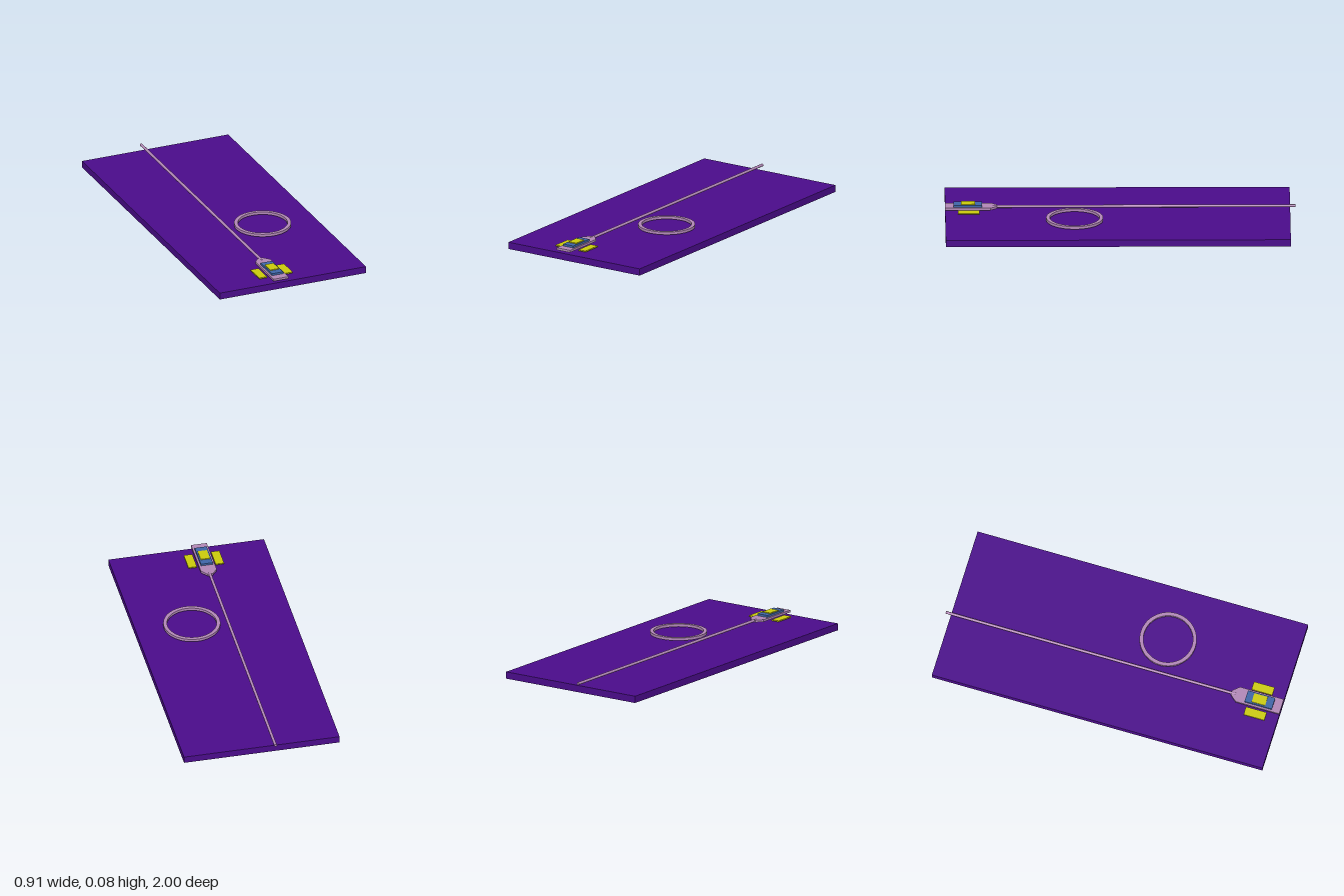
import * as THREE from 'three';

export function createModel() {
  const model = new THREE.Group();
  const mat = (name, color) => {
    const m = new THREE.MeshStandardMaterial({ color });
    m.name = name;
    return m;
  };
  const purple = mat('purple', 0x4b0c8c);
  const mauve = mat('mauve', 0xb388b8);
  const blue = mat('blue', 0x3f66a8);
  const yellow = mat('yellow', 0xcccc0c);

  const add = (name, geometry, material, parent = model) => {
    const mesh = new THREE.Mesh(geometry, material);
    mesh.name = name;
    parent.add(mesh);
    return mesh;
  };
  // box given by its lower and upper corners
  const box = (name, material, [x0, y0, z0], [x1, y1, z1], parent) =>
    add(name, new THREE.BoxGeometry(x1 - x0, y1 - y0, z1 - z0), material, parent)
      .position.set((x0 + x1) / 2, (y0 + y1) / 2, (z0 + z1) / 2);
  // flat outline in x and z, standing upward from y0
  const slab = (name, material, shape, y0, height, parent) => {
    const g = new THREE.ExtrudeGeometry(shape, { depth: height, bevelEnabled: false, curveSegments: 48 });
    g.rotateX(-Math.PI / 2); // shape y becomes -z
    const mesh = add(name, g, material, parent);
    mesh.position.y = y0;
    return mesh;
  };

  // base slab
  box('base', purple, [-0.455, 0, -0.97], [0.455, 0.04, 1]);

  // flat ring
  const ring = new THREE.Shape().absarc(0, 0, 0.163, 0, Math.PI * 2, false);
  ring.holes.push(new THREE.Path().absarc(0, 0, 0.142, 0, Math.PI * 2, true));
  const ringMesh = slab('ring', mauve, ring, 0.05, 0.016);
  ringMesh.position.x = 0.133;
  ringMesh.position.z = 0.262;

  // long straight rod with its head at the front
  const tool = new THREE.Group();
  tool.name = 'rodAndHead';
  tool.position.x = -0.074;
  model.add(tool);

  const rod = new THREE.CylinderGeometry(0.008, 0.008, 1.73, 12);
  rod.rotateX(Math.PI / 2);
  add('rod', rod, mauve, tool).position.set(0, 0.06, -0.135);

  // head with a tapered neck
  const head = new THREE.Shape([
    [-0.046, -1], [0.046, -1], [0.046, -0.74], [0.015, -0.703], [-0.015, -0.703], [-0.046, -0.74],
  ].map(([x, y]) => new THREE.Vector2(x, y)));
  slab('head', mauve, head, 0.053, 0.013, tool);

  // stacked plates on the head
  box('middlePlate', blue, [-0.035, 0.066, 0.79], [0.035, 0.078, 0.952], tool);
  box('topPlate', yellow, [-0.027, 0.078, 0.83], [0.027, 0.083, 0.91], tool);

  // side pads
  for (const s of [-1, 1]) {
    const inner = s * 0.055, outer = s * 0.104;
    box(s > 0 ? 'leftPad' : 'rightPad', yellow,
      [Math.min(inner, outer), 0.047, 0.805], [Math.max(inner, outer), 0.054, 0.928], tool);
  }
  return model;
}
